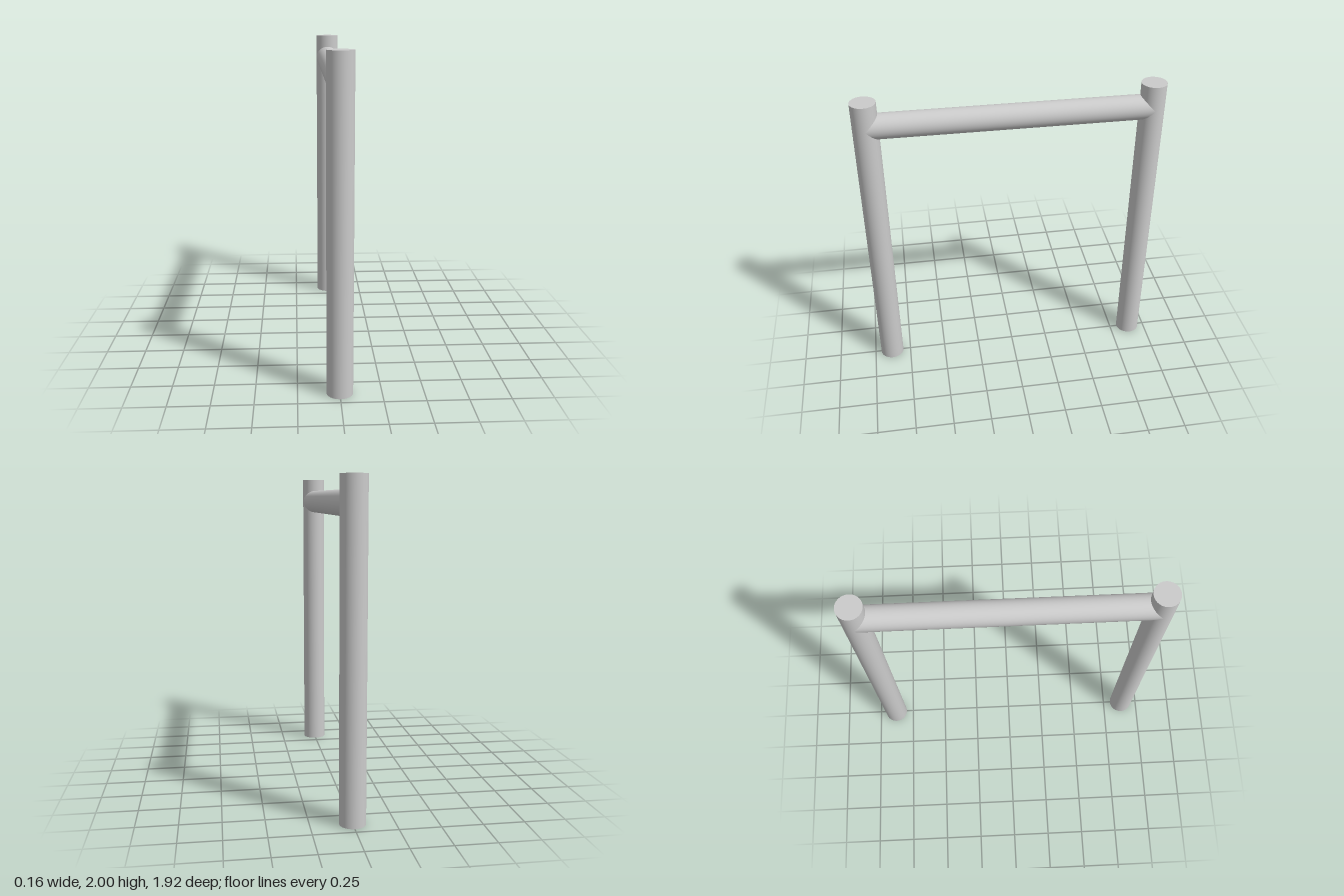
import * as THREE from 'three';

const RADIUS = 0.079;
const POST_Z = 0.88;

export function createModel() {
  const group = new THREE.Group();
  group.name = 'postAndRailFrame';
  const material = new THREE.MeshStandardMaterial({ color: 0xcccccc });

  const addPole = (name, length, y, z) => {
    const pole = new THREE.Mesh(new THREE.CylinderGeometry(RADIUS, RADIUS, length, 48), material);
    pole.name = name;
    pole.position.set(0, y, z);
    group.add(pole);
    return pole;
  };

  // Two upright posts
  addPole('frontPost', 2, 1, POST_Z);
  addPole('backPost', 2, 1, -POST_Z);

  // Crossbar running between the post centres, just below their tops
  addPole('crossbar', POST_Z * 2, 1.84, 0).rotation.x = Math.PI / 2;

  return group;
}
